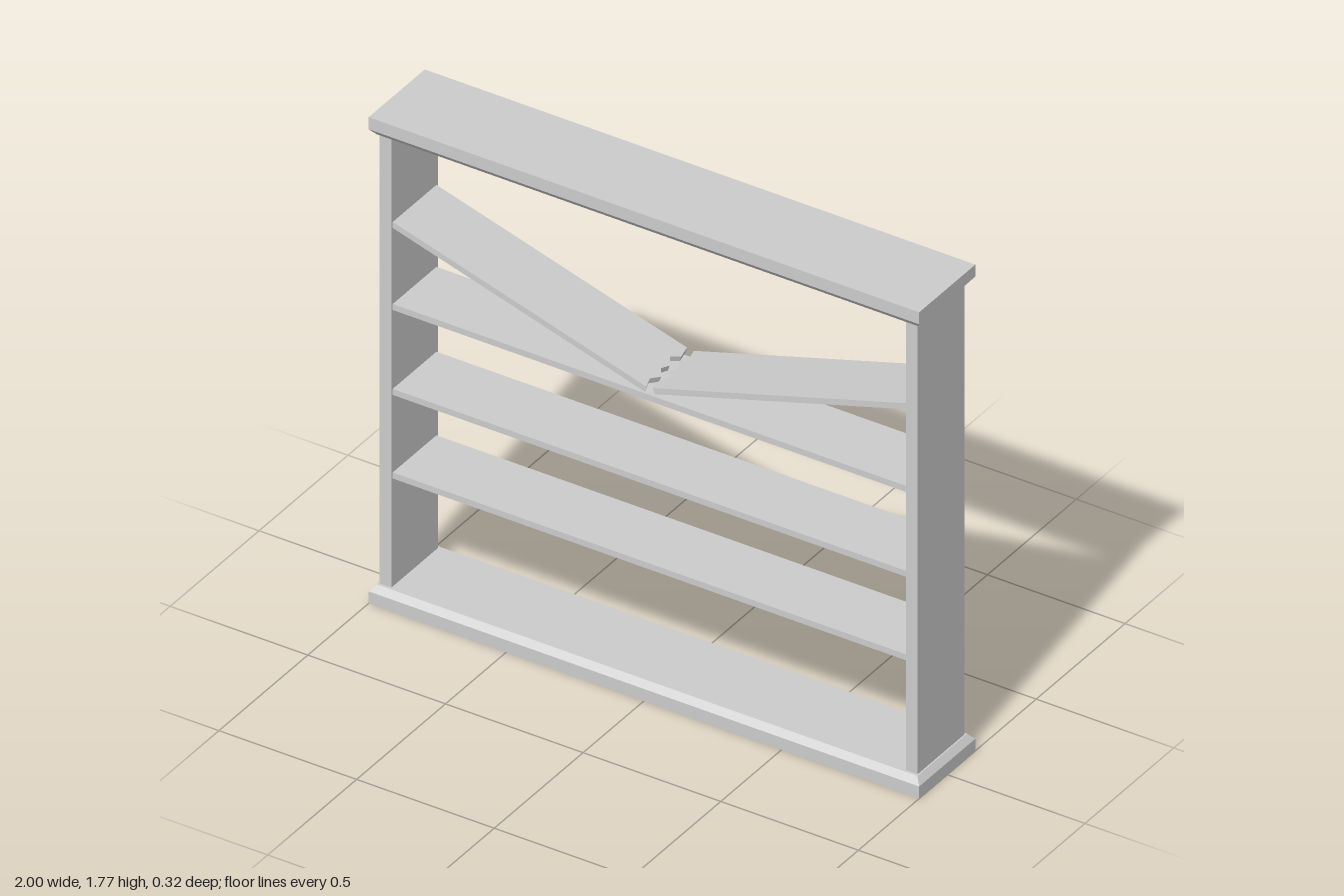
import * as THREE from 'three';

const material = new THREE.MeshStandardMaterial({ color: 0xcccccc, flatShading: true });

function addMesh(parent, name, geometry, x = 0, y = 0, z = 0) {
  const mesh = new THREE.Mesh(geometry, material);
  mesh.name = name;
  mesh.position.set(x, y, z);
  parent.add(mesh);
  return mesh;
}

// Board with a chamfer around its upper edge, standing on y = 0
function chamferedBoard(width, height, depth, chamferStart, inset) {
  const geometry = new THREE.BoxGeometry(width, height, depth, 1, 2, 1);
  geometry.translate(0, height / 2, 0);
  const p = geometry.attributes.position;
  for (let i = 0; i < p.count; i++) {
    if (p.getY(i) > height * 0.75) {
      p.setX(i, p.getX(i) - Math.sign(p.getX(i)) * inset);
      p.setZ(i, p.getZ(i) - Math.sign(p.getZ(i)) * inset);
    } else if (p.getY(i) > height * 0.25) {
      p.setY(i, chamferStart);
    }
  }
  const flat = geometry.toNonIndexed();
  flat.computeVertexNormals();
  return flat;
}

// Half of the snapped shelf, with a jagged inner end
function brokenPlank(length, halfDepth, thickness) {
  const jag = [[0.012, -1], [0.002, -0.62], [0.026, -0.4], [0.004, -0.1],
    [0.016, 0.15], [-0.006, 0.4], [0.014, 0.68], [0, 1]];
  const shape = new THREE.Shape();
  shape.moveTo(length, halfDepth);
  for (const [x, s] of [...jag].reverse()) shape.lineTo(x, s * halfDepth);
  shape.lineTo(length, -halfDepth);
  const geometry = new THREE.ExtrudeGeometry(shape, { depth: thickness, bevelEnabled: false });
  geometry.rotateX(-Math.PI / 2);
  return geometry;
}

export function createModel() {
  const model = new THREE.Group();
  model.name = 'brokenBookcase';
  const height = 1.775;
  const shelfHalfDepth = 0.123;

  // Base and matching inverted top
  const board = chamferedBoard(2, 0.066, 0.316, 0.044, 0.018);
  addMesh(model, 'base', board);
  addMesh(model, 'top', board, 0, height, 0).rotation.x = Math.PI;

  // Side panels
  for (const side of [-1, 1]) {
    addMesh(model, side > 0 ? 'leftPanel' : 'rightPanel',
      new THREE.BoxGeometry(0.042, height - 0.13, 0.262), side * 0.956, height / 2, 0);
  }

  // Intact shelves
  for (const y of [0.471, 0.776, 1.086]) {
    addMesh(model, 'shelf', new THREE.BoxGeometry(1.88, 0.022, shelfHalfDepth * 2), 0, y, 0);
  }

  // Snapped shelf: two halves sloping down to the middle
  const plank = brokenPlank(0.975, shelfHalfDepth, 0.021);
  for (const side of [-1, 1]) {
    const half = new THREE.Group();
    half.name = side > 0 ? 'leftBrokenShelf' : 'rightBrokenShelf';
    half.rotation.y = side > 0 ? 0 : Math.PI;
    addMesh(half, 'brokenPlank', plank, 0.012, 1.103, 0).rotation.z = 0.288;
    half.position.x = -0.007;
    model.add(half);
  }

  return model;
}
